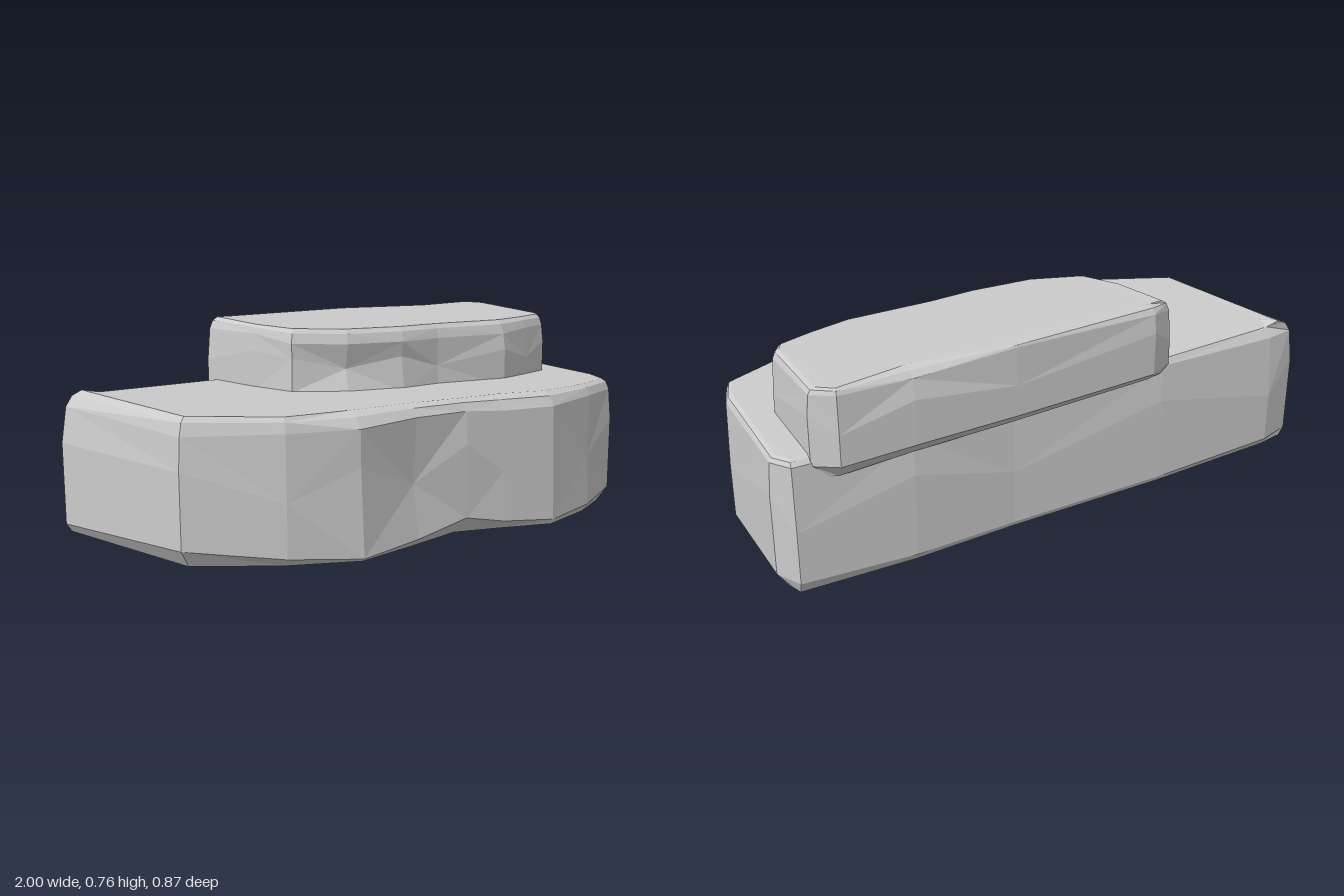
import * as THREE from 'three';

const material = new THREE.MeshStandardMaterial({ color: 0xcccccc, flatShading: true, side: THREE.DoubleSide });

// Weathered slab lofted from columns around its outline, front left to right, then round the back.
// Column: [x, z, lowerBevelHeight, bottomInset, upperBevelHeight, topInset, middleInset]
// bottom and top give the tilted planes as functions of x and z.
function slab(name, columns, bottom, top) {
  const n = columns.length;
  const rings = [[], [], [], [], [], []];
  columns.forEach(([x, z, lowH, botIn, highH, topIn, midIn], i) => {
    const a = columns[(i + n - 1) % n], b = columns[(i + 1) % n];
    const len = Math.hypot(b[0] - a[0], b[1] - a[1]);
    const nx = -(b[1] - a[1]) / len, nz = (b[0] - a[0]) / len;
    const yBot = bottom(x, z), yTop = top(x, z);
    const yLow = yBot + lowH, yHigh = yTop - highH;
    const put = (ring, inset, y) => rings[ring].push([x - nx * inset, y, z - nz * inset]);
    put(0, botIn, yBot);
    put(1, 0, yLow);
    put(2, midIn, yLow + (yHigh - yLow) * (i % 2 ? 0.45 : 0.7));
    put(3, topIn * 0.25, yHigh);
    put(4, topIn * 0.55, yTop - highH * 0.3);
    put(5, topIn, yTop);
  });

  const positions = [];
  const tri = (...corners) => corners.forEach(c => positions.push(...c));
  for (let r = 0; r < rings.length - 1; r++) {
    for (let i = 0; i < n; i++) {
      const j = (i + 1) % n;
      const a = rings[r][i], b = rings[r][j], c = rings[r + 1][j], d = rings[r + 1][i];
      // alternate diagonals give the chipped facets
      if ((i + r) % 2) { tri(a, b, c); tri(a, c, d); } else { tri(a, b, d); tri(b, c, d); }
    }
  }

  // top and bottom caps
  const cap = (ring, up) => {
    const contour = ring.map(p => new THREE.Vector2(p[0], -p[2]));
    for (const [a, b, c] of THREE.ShapeUtils.triangulateShape(contour, [])) {
      if (up) tri(ring[a], ring[b], ring[c]); else tri(ring[a], ring[c], ring[b]);
    }
  };
  cap(rings[5], true);
  cap(rings[0], false);

  const geometry = new THREE.BufferGeometry();
  geometry.setAttribute('position', new THREE.Float32BufferAttribute(positions, 3));
  geometry.computeVertexNormals();
  const mesh = new THREE.Mesh(geometry, material);
  mesh.name = name;
  return mesh;
}

export function createModel() {
  const group = new THREE.Group();
  group.name = 'stackedRocks';

  // wide slab resting on the ground
  group.add(slab('lowerSlab', [
    [-0.87, 0.20, 0.06, 0.04, 0.06, 0.04, 0.00],
    [-0.58, 0.36, 0.03, 0.03, 0.05, 0.03, 0.00],
    [-0.33, 0.43, 0.01, 0.01, 0.05, 0.09, 0.02],
    [-0.08, 0.40, 0.03, 0.03, 0.04, 0.07, 0.03],
    [0.14, 0.39, 0.07, 0.07, 0.04, 0.05, 0.00],
    [0.30, 0.41, 0.04, 0.05, 0.05, 0.07, 0.01],
    [0.52, 0.43, 0.02, 0.01, 0.05, 0.06, 0.01],
    [0.76, 0.37, 0.03, 0.02, 0.04, 0.04, 0.01],
    [0.94, 0.30, 0.06, 0.04, 0.04, 0.04, 0.00],
    [0.98, 0.18, 0.02, 0.02, 0.03, 0.03, 0.00],
    [1.00, -0.29, 0.06, 0.04, 0.02, 0.03, 0.00],
    [0.95, -0.37, 0.05, 0.03, 0.02, 0.04, 0.00],
    [0.55, -0.39, 0.03, 0.02, 0.03, 0.05, 0.00],
    [0.18, -0.38, 0.02, 0.01, 0.03, 0.04, 0.00],
    [-0.40, -0.40, 0.02, 0.01, 0.03, 0.04, 0.00],
    [-0.88, -0.405, 0.03, 0.02, 0.05, 0.08, 0.00],
    [-1.00, -0.37, 0.03, 0.02, 0.05, 0.08, 0.00],
  ], x => 0.037 - 0.036 * x, x => 0.522 - 0.036 * x));

  // smaller slab set back on top, overhanging slightly at the rear
  group.add(slab('upperSlab', [
    [-0.30, -0.03, 0.05, 0.05, 0.05, 0.03, 0.01],
    [-0.12, 0.055, 0.06, 0.06, 0.05, 0.03, 0.03],
    [0.10, 0.09, 0.05, 0.03, 0.05, 0.04, 0.02],
    [0.27, 0.075, 0.05, 0.03, 0.05, 0.03, 0.01],
    [0.57, 0.10, 0.05, 0.03, 0.05, 0.04, 0.00],
    [0.72, 0.06, 0.05, 0.03, 0.04, 0.03, 0.00],
    [0.84, 0.025, 0.05, 0.03, 0.04, 0.03, 0.00],
    [0.875, -0.03, 0.05, 0.02, 0.03, 0.03, 0.00],
    [0.885, -0.36, 0.05, 0.03, 0.02, 0.03, 0.00],
    [0.81, -0.42, 0.05, 0.04, 0.02, 0.02, 0.00],
    [0.56, -0.43, 0.05, 0.05, 0.03, 0.06, 0.00],
    [0.20, -0.435, 0.04, 0.04, 0.01, 0.01, 0.00],
    [-0.33, -0.435, 0.03, 0.03, 0.03, 0.04, 0.00],
    [-0.415, -0.40, 0.03, 0.03, 0.04, 0.04, 0.00],
    [-0.36, -0.18, 0.04, 0.03, 0.03, 0.02, 0.00],
  ], x => 0.46 - 0.06 * x, (x, z) => 0.737 - 0.03 * x - 0.02 * z));

  return group;
}
